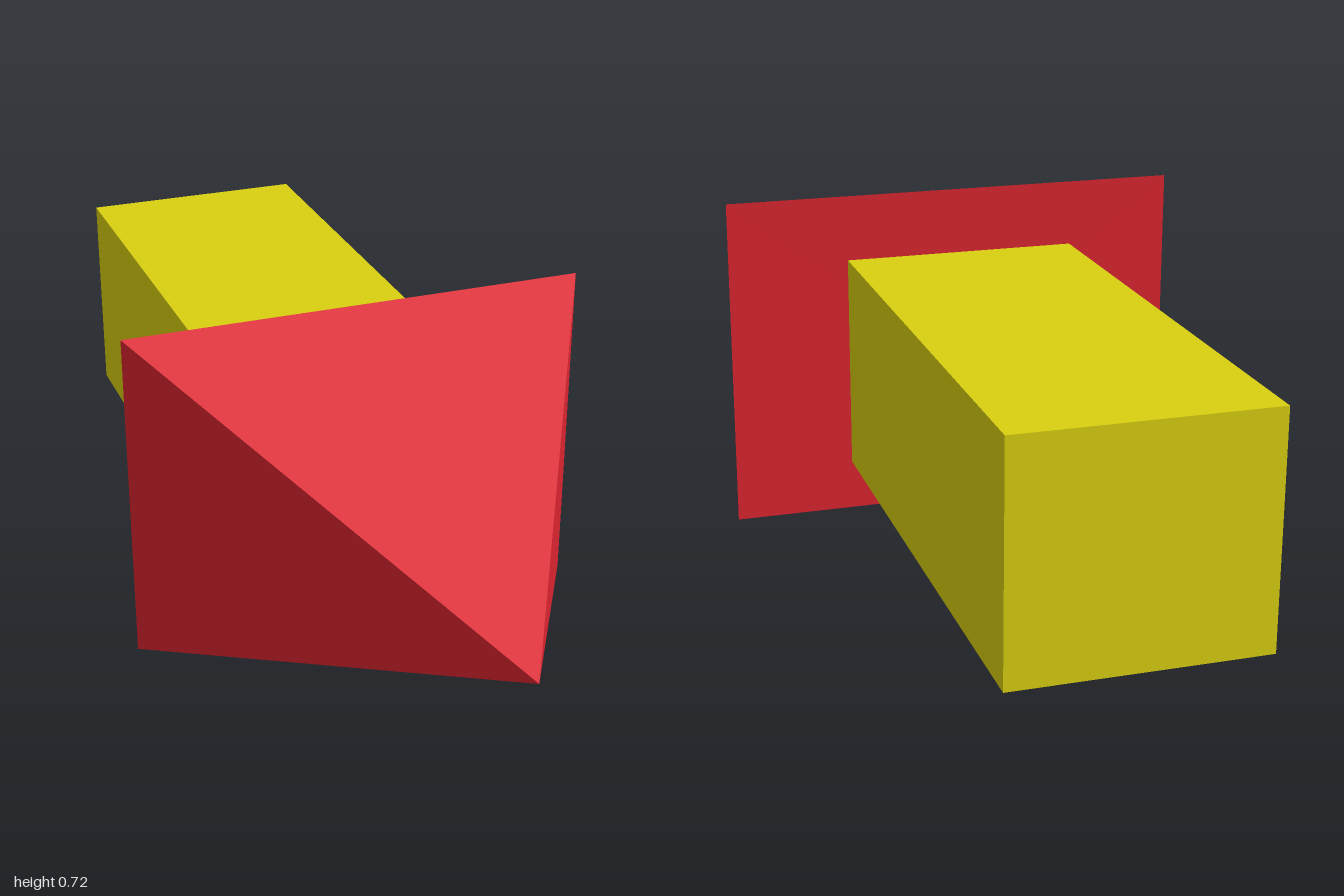
import * as THREE from 'three';

export function createModel() {
  const model = new THREE.Group();
  model.name = 'arrow';

  const red = new THREE.MeshStandardMaterial({ color: 0xdb242f, flatShading: true });
  red.name = 'red';
  const yellow = new THREE.MeshStandardMaterial({ color: 0xdad010, flatShading: true });
  yellow.name = 'yellow';

  // Head: a four-sided pyramid with a rectangular base, pointing forward
  const headGeometry = new THREE.ConeGeometry(Math.SQRT1_2, 1, 4)
    .rotateY(Math.PI / 4)
    .rotateX(Math.PI / 2)
    .scale(0.988, 0.716, 0.878);
  const head = new THREE.Mesh(headGeometry, red);
  head.name = 'arrowHead';
  head.position.set(0, 0.358, 0.561);
  model.add(head);

  // Shaft: a square bar behind the head, set slightly off centre
  const shaft = new THREE.Mesh(new THREE.BoxGeometry(0.505, 0.465, 1.122), yellow);
  shaft.name = 'shaft';
  shaft.position.set(-0.018, 0.342, -0.439);
  model.add(shaft);

  return model;
}
